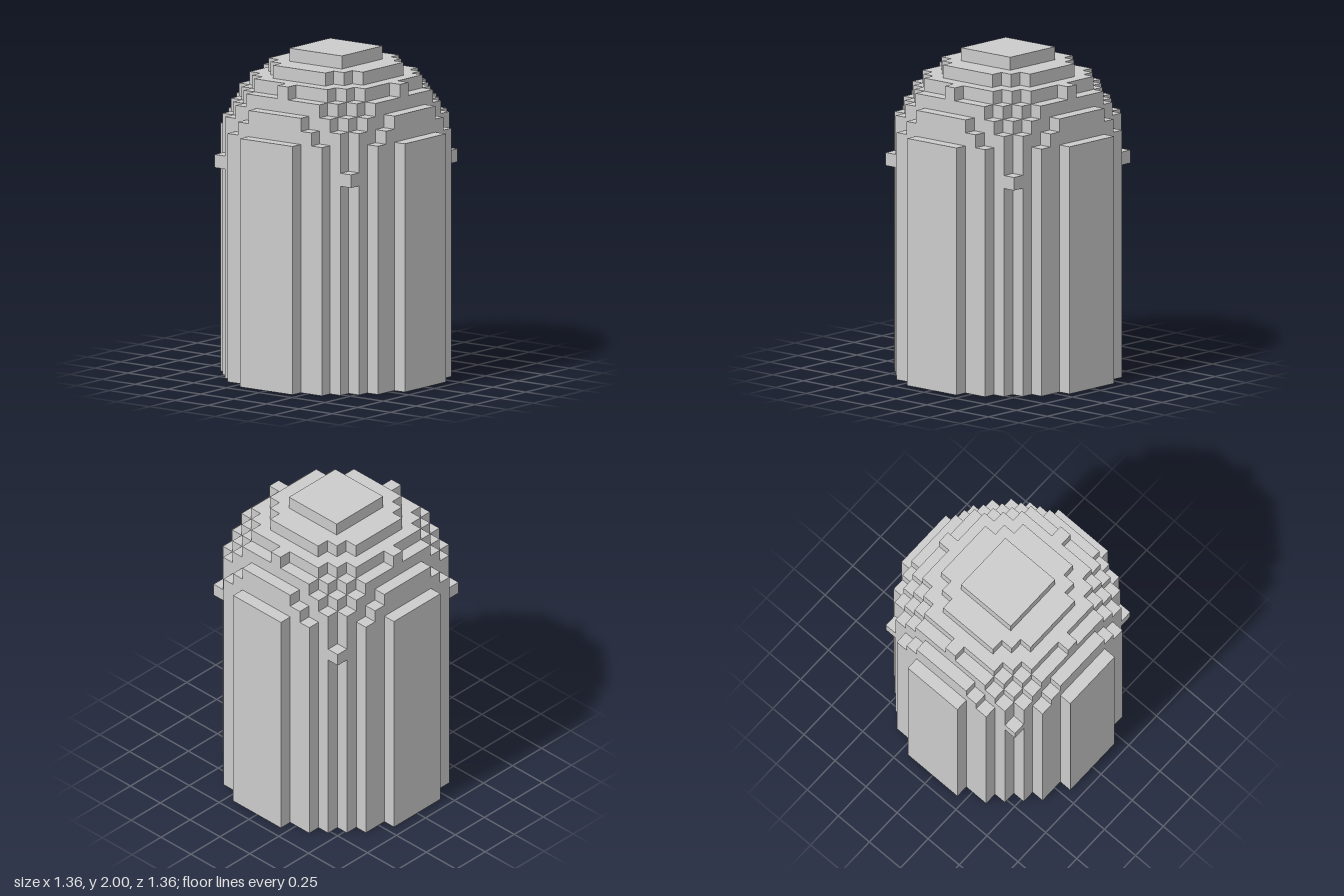
import * as THREE from 'three';

const CUBE = 0.08;       // edge of one building block
const CENTRE_Y = 1.32;   // centre of the dome's sphere
const RADIUS_SQ = 72;    // squared dome radius, in blocks

// Stepped disc outline: every block with x² + z² <= limit.
function discShape(limit) {
  const halfWidth = (row) => Math.floor(Math.sqrt(limit - row * row)) + 0.5;
  const last = Math.floor(Math.sqrt(limit));
  const side = [];
  for (let row = -last; row <= last; row++) {
    const w = halfWidth(row);
    if (row === -last || w !== halfWidth(row - 1)) side.push([w, row - 0.5]);
    if (row === last || w !== halfWidth(row + 1)) side.push([w, row + 0.5]);
  }
  const mirrored = side.map(([x, z]) => [-x, z]).reverse();
  return new THREE.Shape(
    [...side, ...mirrored].map(([x, z]) => new THREE.Vector2(x * CUBE, z * CUBE))
  );
}

export function createModel() {
  const model = new THREE.Group();
  model.name = 'blockTower';
  const material = new THREE.MeshStandardMaterial({ color: 0xcccccc, flatShading: true });

  function addSlab(name, limit, bottom, top) {
    const geometry = new THREE.ExtrudeGeometry(discShape(limit), {
      depth: top - bottom,
      bevelEnabled: false,
    });
    geometry.rotateX(-Math.PI / 2);
    geometry.translate(0, bottom, 0);
    const mesh = new THREE.Mesh(geometry, material);
    mesh.name = name;
    model.add(mesh);
  }

  // Straight fluted column, up to the third layer of the sphere
  addSlab('column', RADIUS_SQ - 4, 0, CENTRE_Y + 2.5 * CUBE);

  // Dome layers, each one block high
  for (let layer = 3; layer <= 8; layer++) {
    const bottom = CENTRE_Y + (layer - 0.5) * CUBE;
    addSlab('domeLayer' + (layer - 2), RADIUS_SQ - layer * layer, bottom, bottom + CUBE);
  }

  // Single blocks jutting from the four corners at the sphere's equator
  const block = new THREE.BoxGeometry(CUBE, CUBE, CUBE);
  for (const sx of [-1, 1]) {
    for (const sz of [-1, 1]) {
      const stud = new THREE.Mesh(block, material);
      stud.name = (sz > 0 ? 'front' : 'back') + (sx > 0 ? 'Left' : 'Right') + 'Stud';
      stud.position.set(sx * 6 * CUBE, CENTRE_Y, sz * 6 * CUBE);
      model.add(stud);
    }
  }
  return model;
}
